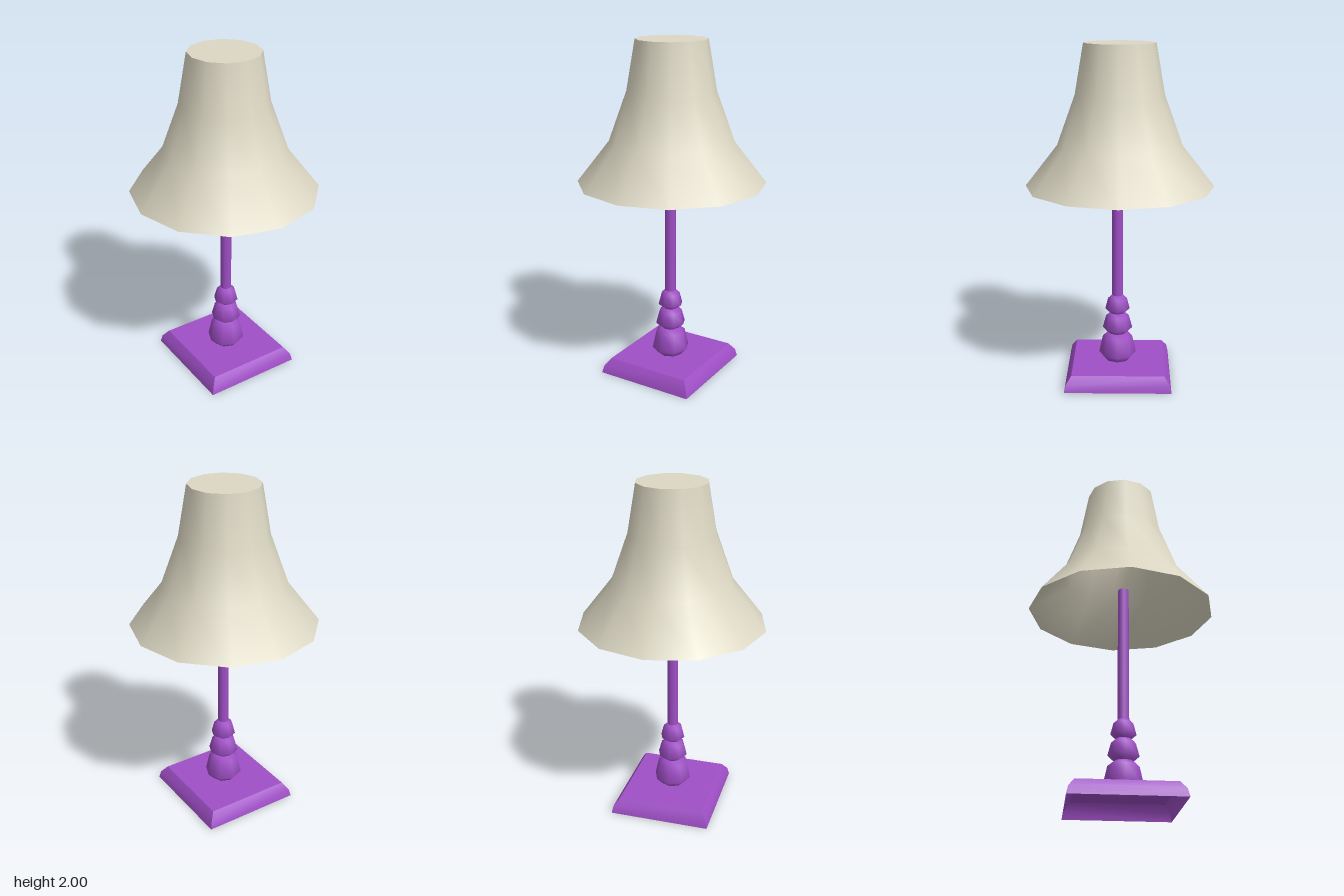
import * as THREE from 'three';

const shadeMat = new THREE.MeshStandardMaterial({ color: 0xdcd7c3, side: THREE.DoubleSide });
shadeMat.name = 'cream fabric';
const standMat = new THREE.MeshStandardMaterial({ color: 0xa04fc7, side: THREE.DoubleSide });
standMat.name = 'purple paint';

const STAND_Z = 0.014; // the stem sits slightly forward of centre

function addMesh(parent, name, geometry, material, x = 0, y = 0, z = 0) {
  const mesh = new THREE.Mesh(geometry, material);
  mesh.name = name;
  mesh.position.set(x, y, z);
  parent.add(mesh);
  return mesh;
}

// Surface turned from [radius, height] pairs, listed bottom to top
function turned(profile, sides) {
  return new THREE.LatheGeometry(profile.map(([r, y]) => new THREE.Vector2(r, y)), sides);
}

// One side of the foot: a bevelled strip, smooth across its own rows
function footSide(rows, halfExtents) {
  const positions = [];
  for (const [inset, y] of rows) {
    const w = halfExtents[0] - inset, d = halfExtents[1] - inset;
    positions.push(-w, y, d, w, y, d);
  }
  const index = [];
  for (let i = 0; i < rows.length - 1; i++) {
    const a = i * 2;
    index.push(a, a + 1, a + 3, a, a + 3, a + 2);
  }
  const g = new THREE.BufferGeometry();
  g.setAttribute('position', new THREE.Float32BufferAttribute(positions, 3));
  g.setIndex(index);
  g.computeVertexNormals();
  return g;
}

export function createModel() {
  const lamp = new THREE.Group();
  lamp.name = 'tableLamp';

  // Square foot, hollow underneath
  const foot = new THREE.Group();
  foot.name = 'foot';
  foot.position.z = 0.008;
  lamp.add(foot);
  const rows = [[0, 0], [0.01, 0.045], [0.042, 0.09]];
  const halfX = 0.3, halfZ = 0.316;
  for (let i = 0; i < 4; i++) {
    const extents = i % 2 ? [halfZ, halfX] : [halfX, halfZ];
    addMesh(foot, 'footSide', footSide(rows, extents), standMat).rotation.y = i * Math.PI / 2;
  }
  const top = new THREE.PlaneGeometry(2 * (halfX - 0.042), 2 * (halfZ - 0.042));
  top.rotateX(-Math.PI / 2);
  addMesh(foot, 'footTop', top, standMat, 0, 0.09, 0);

  // Three turned knobs, shrinking upwards
  const knobs = [
    ['lowerKnob', [[0, 0.065], [0.04, 0.07], [0.075, 0.09], [0.113, 0.132], [0.09, 0.235], [0.055, 0.262], [0, 0.268]]],
    ['middleKnob', [[0, 0.25], [0.05, 0.258], [0.09, 0.293], [0.07, 0.368], [0.042, 0.392], [0, 0.397]]],
    ['upperKnob', [[0, 0.382], [0.04, 0.388], [0.074, 0.416], [0.057, 0.482], [0.033, 0.504], [0, 0.508]]],
  ];
  for (const [name, profile] of knobs) {
    addMesh(lamp, name, turned(profile, 8), standMat, 0, 0, STAND_Z);
  }

  // Stem, ending just inside the shade
  const stem = new THREE.CylinderGeometry(0.033, 0.033, 0.85, 8);
  addMesh(lamp, 'stem', stem, standMat, 0, 0.48 + 0.425, STAND_Z);

  // Flared twelve-sided shade, open below and closed on top
  const shadeProfile = [[0.55, 1.18], [0.362, 1.42], [0.256, 1.71], [0.205, 2]];
  addMesh(lamp, 'shade', turned(shadeProfile, 12), shadeMat);
  const cap = new THREE.CircleGeometry(0.205, 12);
  cap.rotateX(-Math.PI / 2);
  addMesh(lamp, 'shadeTop', cap, shadeMat, 0, 2, 0);

  return lamp;
}
